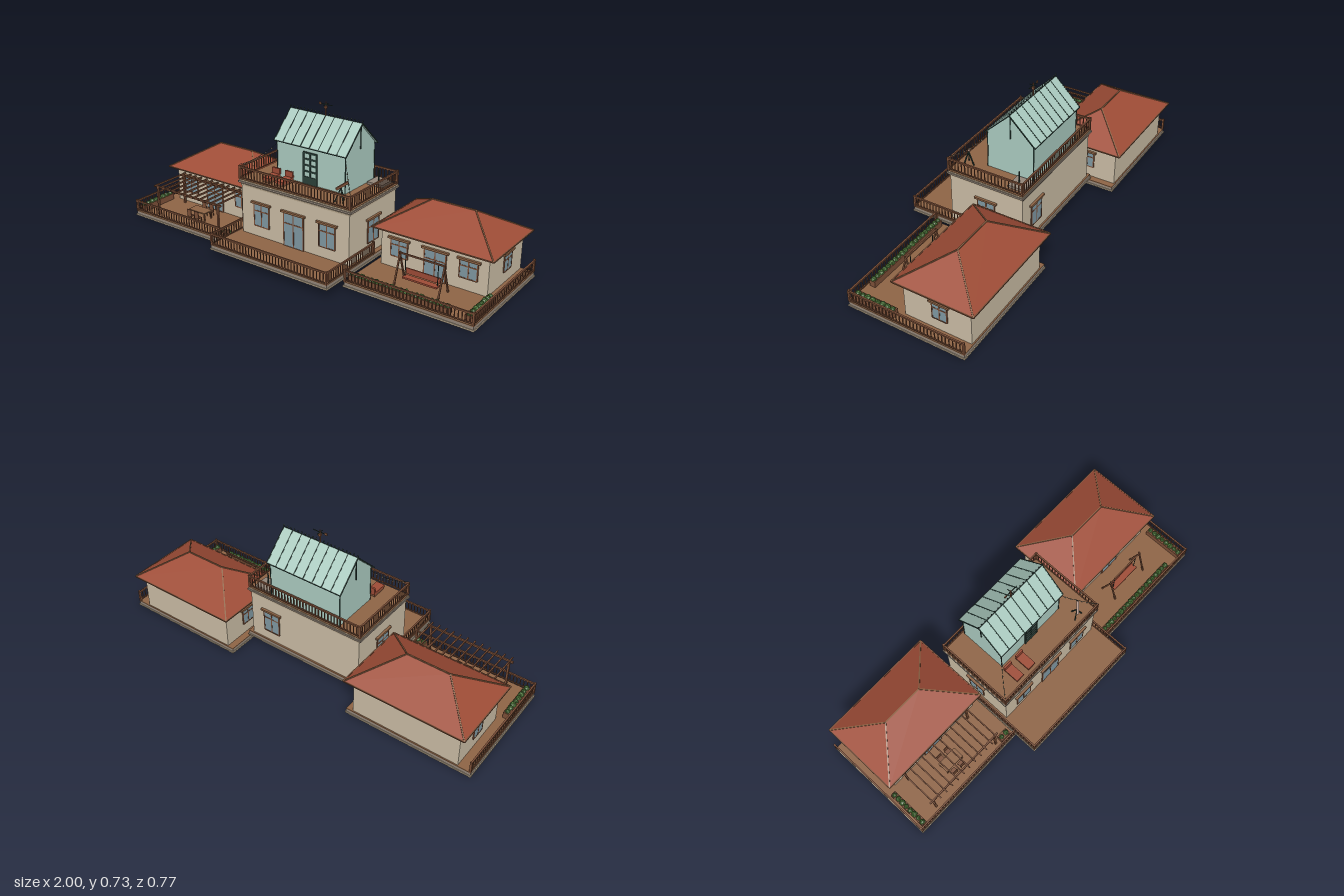
import * as THREE from 'three';
import { mergeGeometries } from 'three/addons/utils/BufferGeometryUtils.js';

const mat = (name, color, side = THREE.FrontSide) =>
  Object.assign(new THREE.MeshStandardMaterial({ color, side }), { name });
const M = {
  wall: mat('plaster', 0xcbbda5), stone: mat('grey stone', 0x94877a), pale: mat('pale stone', 0xb9a88e),
  deck: mat('deck wood', 0x8e6445), rail: mat('rail wood', 0x7d5038), roof: mat('terracotta', 0x9e4c36),
  frame: mat('dark green metal', 0x2b4039), glass: mat('window glass', 0x8099a3),
  pane: mat('greenhouse glass', 0xacccc1), leaf: mat('foliage', 0x4d7838),
};

const V = (x, y, z) => new THREE.Vector3(x, y, z);
function add(parent, name, geo, m) {
  const mesh = new THREE.Mesh(geo, m);
  mesh.name = name;
  parent.add(mesh);
  return mesh;
}
function group(parent, name, x = 0, y = 0, z = 0, ry = 0) {
  const g = new THREE.Group();
  g.name = name;
  g.position.set(x, y, z);
  g.rotation.y = ry;
  parent.add(g);
  return g;
}
// box given by its limits on each axis
const boxGeo = (x0, x1, y0, y1, z0, z1) =>
  new THREE.BoxGeometry(x1 - x0, y1 - y0, z1 - z0).translate((x0 + x1) / 2, (y0 + y1) / 2, (z0 + z1) / 2);
const box = (p, name, m, ...limits) => add(p, name, boxGeo(...limits), m);
// square bar between two points
function barGeo(a, b, t) {
  const d = b.clone().sub(a), g = new THREE.BoxGeometry(t, t, d.length());
  const o = new THREE.Object3D();
  o.position.copy(a).add(b).multiplyScalar(0.5);
  o.lookAt(b);
  o.updateMatrix();
  return g.applyMatrix4(o.matrix);
}
const bars = (p, name, m, t, list) =>
  add(p, name, mergeGeometries(list.map(([a, b]) => barGeo(a, b, t))), m);

// railing along a line of [x, z] points
function railing(p, name, y, h, pts) {
  const parts = [];
  for (let i = 0; i + 1 < pts.length; i++) {
    const [x0, z0] = pts[i], [x1, z1] = pts[i + 1];
    parts.push(barGeo(V(x0, y + h - 0.004, z0), V(x1, y + h - 0.004, z1), 0.008));
    parts.push(barGeo(V(x0, y + 0.009, z0), V(x1, y + 0.009, z1), 0.005));
    const n = Math.round(Math.hypot(x1 - x0, z1 - z0) / 0.018);
    for (let k = 1; k < n; k++) {
      const x = x0 + (x1 - x0) * k / n, z = z0 + (z1 - z0) * k / n;
      parts.push(boxGeo(x - 0.002, x + 0.002, y + 0.006, y + h - 0.004, z - 0.002, z + 0.002));
    }
  }
  for (const [x, z] of pts) parts.push(boxGeo(x - 0.005, x + 0.005, y, y + h + 0.004, z - 0.005, z + 0.005));
  add(p, name, mergeGeometries(parts), M.rail);
}

// window or door facing +z, standing on its local origin
function opening(p, name, x, y, z, ry, w, h) {
  const g = group(p, name, x, y, z, ry), a = w / 2;
  box(g, 'glass', M.glass, -a, a, 0, h, -0.004, 0.002);
  const f = [[V(-a, 0, 0), V(-a, h, 0)], [V(a, 0, 0), V(a, h, 0)], [V(0, 0, 0), V(0, h, 0)],
    [V(-a, 0, 0), V(a, 0, 0)], [V(-a, h, 0), V(a, h, 0)], [V(-a, h * 0.7, 0), V(a, h * 0.7, 0)]];
  bars(g, 'windowFrame', M.rail, 0.006, f);
  box(g, 'lintel', M.deck, -a - 0.014, a + 0.014, h + 0.002, h + 0.012, -0.003, 0.01);
}

function platform(p, name, x0, x1, y, z0, z1) {
  const g = group(p, name), e = 0.004;
  box(g, 'footing', M.pale, x0 - e, x1 + e, y, y + 0.008, z0 - e, z1 + e);
  box(g, 'plinth', M.stone, x0, x1, y + 0.008, y + 0.022, z0, z1);
  box(g, 'deckBoards', M.deck, x0, x1, y + 0.022, y + 0.026, z0, z1);
}

// hipped roof over a rectangle centred on x = 0
function hipRoof(p, hx, z0, z1, y0, y1, ridge) {
  const zc = (z0 + z1) / 2;
  const A = V(-hx, y0, z1), B = V(hx, y0, z1), C = V(hx, y0, z0), D = V(-hx, y0, z0);
  const R = V(ridge, y1, zc), L = V(-ridge, y1, zc);
  const tris = [A, B, R, A, R, L, B, C, R, C, D, L, C, L, R, D, A, L, A, D, C, A, C, B];
  const geo = new THREE.BufferGeometry().setFromPoints(tris);
  geo.computeVertexNormals();
  add(p, 'hippedRoof', geo, M.roof);
  bars(p, 'roofTrim', M.rail, 0.006, [[A, B], [B, C], [C, D], [D, A]]);
  bars(p, 'hipTiles', M.deck, 0.006, [[A, L], [D, L], [B, R], [C, R], [L, R]]);
}

// trough with leafy clumps
function planter(p, x0, x1, z0, z1) {
  const g = group(p, 'planter');
  box(g, 'trough', M.rail, x0, x1, 0.026, 0.058, z0, z1);
  const alongX = x1 - x0 > z1 - z0, n = Math.max(2, Math.round(Math.max(x1 - x0, z1 - z0) / 0.026));
  for (let i = 0; i < n; i++) {
    const t = (i + 0.5) / n;
    const clump = add(g, 'foliage', new THREE.IcosahedronGeometry(0.013 + 0.002 * (i % 3), 0), M.leaf);
    clump.position.set(alongX ? x0 + t * (x1 - x0) : (x0 + x1) / 2, 0.06, alongX ? (z0 + z1) / 2 : z0 + t * (z1 - z0));
    clump.rotation.y = i * 1.3;
  }
}

function wing(p, s) {
  const g = group(p, s > 0 ? 'leftWing' : 'rightWing');
  const [a, b] = s > 0 ? [0.345, 0.996] : [-0.996, -0.345];
  platform(g, 'wingPlatform', a, b, 0, -0.354, 0.249);
  railing(g, 'wingRailing', 0.026, 0.06, [[s * 0.993, -0.35], [s * 0.993, 0.246], [s * 0.348, 0.246]]);
  const h = group(g, 'wingHouse', s * 0.655);
  box(h, 'wingWalls', M.wall, -0.275, 0.275, 0.026, 0.22, -0.348, -0.007);
  box(h, 'wallBand', M.pale, -0.278, 0.278, 0.208, 0.216, -0.351, -0.004);
  hipRoof(h, 0.308, -0.382, 0.028, 0.218, 0.337, 0.11);
  opening(h, 'wingDoor', s * 0.01, 0.027, -0.005, 0, 0.11, 0.143);
  for (const k of [-1, 1]) {
    opening(h, 'wingWindow', k * 0.178, 0.085, -0.005, 0, 0.088, 0.085);
    opening(h, 'sideWindow', k * 0.277, 0.085, -0.191, k * Math.PI / 2, 0.074, 0.083);
  }
}

function gardenSwing(p) {
  const g = group(p, 'gardenSwing'), legs = [];
  for (const x of [0.545, 0.77])
    for (const k of [-1, 1]) legs.push([V(x, 0.026, 0.1 + k * 0.045), V(x, 0.178, 0.1 - k * 0.004)]);
  bars(g, 'swingFrame', M.rail, 0.007, [...legs, [V(0.54, 0.172, 0.1), V(0.775, 0.172, 0.1)]]);
  box(g, 'swingSeat', M.roof, 0.57, 0.745, 0.058, 0.066, 0.085, 0.118);
  box(g, 'swingBack', M.roof, 0.57, 0.745, 0.07, 0.098, 0.08, 0.086);
  bars(g, 'swingRopes', M.frame, 0.003, [0.575, 0.74].map(x => [V(x, 0.06, 0.1), V(x, 0.172, 0.1)]));
}

function pergola(p) {
  const g = group(p, 'pergola');
  for (const x of [-0.865, -0.445]) for (const z of [0.02, 0.212])
    box(g, 'pergolaPost', M.rail, x - 0.005, x + 0.005, 0.026, 0.185, z - 0.005, z + 0.005);
  for (const z of [0.02, 0.212]) box(g, 'pergolaBeam', M.rail, -0.885, -0.425, 0.178, 0.188, z - 0.004, z + 0.004);
  for (let i = 0; i < 12; i++) {
    const x = -0.87 + i * 0.039;
    box(g, 'pergolaSlat', M.rail, x - 0.003, x + 0.003, 0.187, 0.195, 0, 0.233);
  }
  // dining set
  box(g, 'tableTop', M.deck, -0.715, -0.605, 0.066, 0.072, 0.085, 0.145);
  for (const x of [-0.71, -0.61]) for (const z of [0.09, 0.14])
    box(g, 'tableLeg', M.rail, x - 0.003, x + 0.003, 0.026, 0.066, z - 0.003, z + 0.003);
  for (const x of [-0.685, -0.635]) for (const k of [-1, 1]) {
    const z = 0.115 + k * 0.045;
    box(g, 'chairSeat', M.rail, x - 0.014, x + 0.014, 0.046, 0.05, z - 0.013, z + 0.013);
    box(g, 'chairBack', M.rail, x - 0.014, x + 0.014, 0.05, 0.085, z + k * 0.012 - 0.002, z + k * 0.012 + 0.002);
    for (const i of [-1, 1]) for (const j of [-1, 1])
      bars(g, 'chairLeg', M.rail, 0.003, [[V(x + i * 0.012, 0.026, z + j * 0.011), V(x + i * 0.012, 0.047, z + j * 0.011)]]);
  }
}

function greenhouse(p) {
  const g = group(p, 'greenhouse', 0, 0, -0.085);
  const gable = new THREE.Shape([[-0.122, 0.345], [0.122, 0.345], [0.122, 0.538], [0, 0.656], [-0.122, 0.538]]
    .map(q => new THREE.Vector2(...q)));
  const body = new THREE.ExtrudeGeometry(gable, { depth: 0.4, bevelEnabled: false });
  add(g, 'glassBody', body.translate(0, 0, -0.2).rotateY(Math.PI / 2), M.pane);
  const ribs = [], edges = [[V(-0.21, 0.661, 0), V(0.21, 0.661, 0)]], crest = [];
  for (const k of [-1, 1]) {
    const roof = add(g, 'glassRoof', new THREE.BoxGeometry(0.42, 0.004, 0.186), M.pane);
    roof.position.set(0, 0.596, k * 0.0665);
    roof.rotation.x = k * Math.atan2(0.13, 0.133);
    for (let i = 0; i < 9; i++) {
      const x = -0.21 + i * 0.0525;
      ribs.push([V(x, 0.531, k * 0.134), V(x, 0.661, 0)]);
    }
    edges.push([V(-0.21, 0.531, k * 0.134), V(0.21, 0.531, k * 0.134)], [V(k * 0.202, 0.535, 0), V(k * 0.202, 0.66, 0)]);
    for (const x of [-0.2, 0.2]) edges.push([V(x, 0.345, k * 0.122), V(x, 0.535, k * 0.122)]);
  }
  bars(g, 'roofRibs', M.frame, 0.005, ribs);
  bars(g, 'frameEdges', M.frame, 0.004, edges);
  for (let i = 0; i < 21; i++) crest.push(new THREE.IcosahedronGeometry(0.004, 0).translate(-0.21 + i * 0.021, 0.672, 0),
    boxGeo(-0.211 + i * 0.021, -0.209 + i * 0.021, 0.66, 0.67, -0.001, 0.001).toNonIndexed());
  add(g, 'ridgeCresting', mergeGeometries(crest), M.frame);
  // glazed door
  box(g, 'doorGlass', M.pane, -0.038, 0.038, 0.348, 0.505, 0.12, 0.125);
  const lines = [-0.038, 0, 0.038].map(x => [V(x, 0.346, 0.125), V(x, 0.505, 0.125)]);
  for (let i = 0; i < 5; i++) lines.push([V(-0.04, 0.38 + i * 0.031, 0.125), V(0.04, 0.38 + i * 0.031, 0.125)]);
  bars(g, 'doorFrame', M.frame, 0.008, lines);
  box(g, 'doorPanel', M.frame, -0.038, 0.038, 0.346, 0.376, 0.122, 0.128);
  // weather vane
  add(g, 'vanePost', new THREE.CylinderGeometry(0.003, 0.004, 0.068, 8).translate(0, 0.694, 0), M.rail);
  box(g, 'vaneHub', M.rail, -0.006, 0.006, 0.695, 0.707, -0.006, 0.006);
  bars(g, 'vaneArms', M.frame, 0.003, [[V(-0.04, 0.715, 0), V(0.04, 0.715, 0)], [V(0, 0.715, -0.02), V(0, 0.715, 0.02)]]);
  box(g, 'vaneTail', M.rail, -0.04, -0.026, 0.71, 0.722, -0.002, 0.002);
}

function terrace(p) {
  const g = group(p, 'roofTerrace');
  for (const x of [-0.187, -0.108]) { // loungers
    box(g, 'loungerSeat', M.roof, x - 0.023, x + 0.023, 0.358, 0.37, 0.06, 0.145);
    box(g, 'loungerBack', M.roof, x - 0.023, x + 0.023, 0.37, 0.398, 0.058, 0.068);
    box(g, 'loungerBase', M.rail, x - 0.02, x + 0.02, 0.345, 0.358, 0.065, 0.14);
  }
  // telescope
  const top = V(0.235, 0.415, 0.122);
  bars(g, 'tripod', M.frame, 0.005, [0, 1, 2].map(i => {
    const a = i * 2.094 + 0.5;
    return [V(0.235 + 0.028 * Math.cos(a), 0.345, 0.122 + 0.028 * Math.sin(a)), top];
  }));
  bars(g, 'telescopeTube', M.rail, 0.011, [[V(0.22, 0.41, 0.14), V(0.262, 0.443, 0.102)]]);
  // hatch with a vent pipe
  box(g, 'hatch', M.stone, 0.212, 0.298, 0.345, 0.358, -0.215, -0.13);
  box(g, 'ventPipe', M.frame, 0.252, 0.257, 0.358, 0.418, -0.167, -0.162);
  // strings of lamps
  for (const k of [-1, 1]) {
    const c = new THREE.QuadraticBezierCurve3(V(k * 0.2, 0.515, 0.037), V(k * 0.27, 0.43, 0.11), V(k * 0.322, 0.42, 0.175));
    add(g, 'lampWire', new THREE.TubeGeometry(c, 12, 0.001, 4), M.frame);
    for (let i = 1; i < 7; i++) {
      const q = c.getPoint(i / 7);
      add(g, 'lamp', new THREE.SphereGeometry(0.004, 8, 6).translate(q.x, q.y - 0.004, q.z), M.pale);
    }
  }
}

function mainHouse(p) {
  const g = group(p, 'mainHouse');
  platform(g, 'mainPlatform', -0.343, 0.343, 0.038, -0.228, 0.38);
  railing(g, 'porchRailing', 0.062, 0.062, [[-0.34, 0], [-0.34, 0.377], [0.34, 0.377], [0.34, 0]]);
  box(g, 'mainWalls', M.wall, -0.318, 0.318, 0.062, 0.328, -0.22, 0.171);
  box(g, 'wallBand', M.pale, -0.321, 0.321, 0.313, 0.321, -0.223, 0.174);
  box(g, 'roofSlab', M.stone, -0.332, 0.332, 0.327, 0.336, -0.231, 0.182);
  box(g, 'slabEdge', M.pale, -0.328, 0.328, 0.336, 0.342, -0.227, 0.178);
  box(g, 'terraceDeck', M.deck, -0.327, 0.327, 0.342, 0.345, -0.226, 0.177);
  railing(g, 'terraceRailing', 0.345, 0.066,
    [[-0.323, -0.222], [-0.323, 0.176], [0.323, 0.176], [0.323, -0.222], [-0.323, -0.222]]);
  opening(g, 'mainDoor', 0, 0.063, 0.173, 0, 0.115, 0.172);
  for (const k of [-1, 1]) {
    opening(g, 'mainWindow', k * 0.195, 0.12, 0.173, 0, 0.09, 0.115);
    opening(g, 'mainSideWindow', k * 0.32, 0.12, -0.025, k * Math.PI / 2, 0.09, 0.115);
  }
  opening(g, 'backWindow', 0.195, 0.12, -0.222, Math.PI, 0.09, 0.115);
}

export function createModel() {
  const model = new THREE.Group();
  model.name = 'house';
  mainHouse(model);
  greenhouse(model);
  terrace(model);
  for (const s of [-1, 1]) wing(model, s);
  gardenSwing(model);
  pergola(model);
  planter(model, 0.36, 0.87, 0.205, 0.235);
  planter(model, 0.945, 0.98, 0.02, 0.235);
  planter(model, -0.98, -0.95, 0.02, 0.235);
  planter(model, -0.42, -0.36, 0.2, 0.235);
  return model;
}
